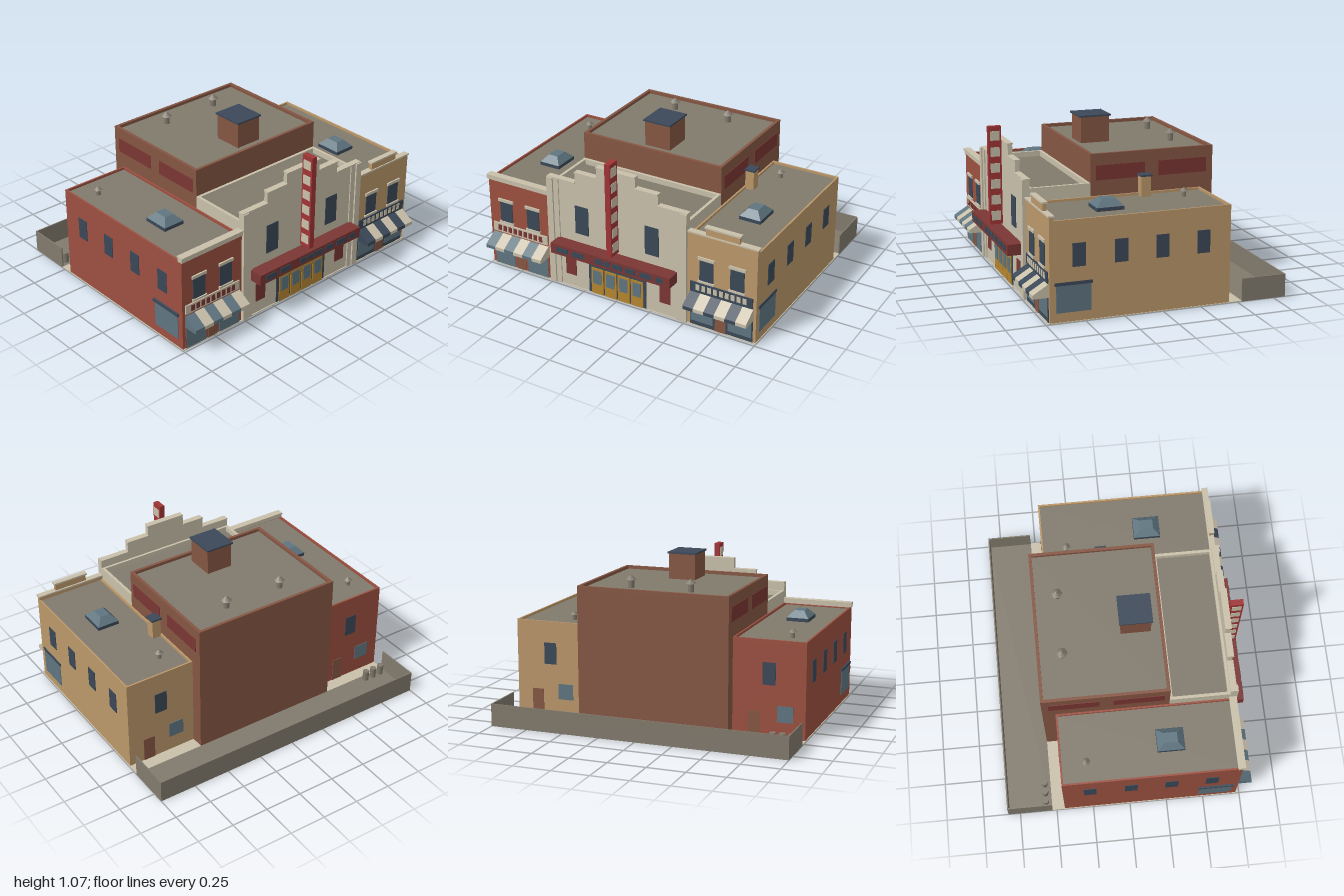
import * as THREE from 'three';

const mat = (name, color) => Object.assign(new THREE.MeshStandardMaterial({ color }), { name });
const M = {
  cream: mat('cream', 0xc9c0aa), tan: mat('tan', 0xbb976a), brick: mat('brick red', 0x9c5040),
  brown: mat('brown brick', 0x855643), maroon: mat('maroon', 0x7a3633), red: mat('sign red', 0xa03436),
  navy: mat('navy', 0x3b4858), glass: mat('glass blue', 0x5f7580), taupe: mat('roof taupe', 0x817a6d),
  gold: mat('door gold', 0xb5852f),
};

export function createModel() {
  const root = new THREE.Group();
  root.name = 'theatreBlock';

  const add = (name, geo, m, x = 0, y = 0, z = 0) => {
    const mesh = new THREE.Mesh(geo, m);
    mesh.name = name;
    mesh.position.set(x, y, z);
    root.add(mesh);
    return mesh;
  };
  // box given by its limits on each axis
  const box = (name, m, x0, x1, y0, y1, z0, z1) =>
    add(name, new THREE.BoxGeometry(x1 - x0, y1 - y0, z1 - z0), m, (x0 + x1) / 2, (y0 + y1) / 2, (z0 + z1) / 2);
  // walls with a recessed flat roof inside a parapet
  const block = (name, m, x0, x1, z0, z1, top, roof, t) => {
    box(name + 'Body', m, x0, x1, 0.003, roof, z0, z1);
    box(name + 'Roof', M.taupe, x0 + t, x1 - t, roof, roof + 0.004, z0 + t, z1 - t);
    box(name + 'ParapetBack', m, x0, x1, roof, top, z0, z0 + t);
    box(name + 'ParapetFront', m, x0, x1, roof, top, z1 - t, z1);
    box(name + 'ParapetLeft', m, x1 - t, x1, roof, top, z0 + t, z1 - t);
    box(name + 'ParapetRight', m, x0, x0 + t, roof, top, z0 + t, z1 - t);
  };
  const vent = (x, y, z, s) => {
    add('ventPipe', new THREE.CylinderGeometry(0.019 * s, 0.019 * s, 0.06 * s, 6), M.taupe, x, y + 0.03 * s, z);
    add('ventCap', new THREE.ConeGeometry(0.036 * s, 0.03 * s, 6), M.taupe, x, y + 0.067 * s, z);
  };

  // Ground slab and walled rear yard
  box('groundSlab', M.cream, -1, 1, 0, 0.006, -0.53, 0.735);
  box('yardFloor', M.taupe, -1, 1, 0, 0.006, -0.83, -0.53);
  box('yardBackWall', M.taupe, -1, 1, 0.006, 0.15, -0.83, -0.822);
  for (const s of [-1, 1]) box('yardSideWall', M.taupe, s * 0.996 - 0.004, s * 0.996 + 0.004, 0.006, 0.15, -0.822, -0.53);
  for (const x of [-0.945, -0.883, -0.82])
    add('trashCan', new THREE.CylinderGeometry(0.023, 0.02, 0.075, 6), M.taupe, x, 0.042, -0.57);

  // Auditorium
  block('auditorium', M.brown, -0.515, 0.515, -0.53, 0.3, 0.905, 0.88, 0.02);
  for (const s of [-1, 1]) {
    for (const [z0, z1] of [[-0.065, 0.265], [-0.485, -0.155]])
      box('sidePanel', M.maroon, s * 0.515 - 0.004, s * 0.515 + 0.004, 0.735, 0.83, z0, z1);
    vent(s * 0.205, 0.884, -0.365, 1.05);
  }
  box('roofHouse', M.brown, -0.092, 0.092, 0.88, 1.055, 0.022, 0.218);
  box('roofHouseCap', M.navy, -0.1, 0.1, 1.055, 1.066, 0.012, 0.228);

  // Lobby with stepped facade
  block('lobby', M.cream, -0.515, 0.515, 0.3, 0.7, 0.72, 0.68, 0.02);
  const steps = [[0.515, 0.78], [0.305, 0.855], [0.142, 0.93]];
  const outline = new THREE.Shape();
  outline.moveTo(-0.515, 0.003);
  for (const [i, [x, y]] of steps.entries()) {
    outline.lineTo(-x, y - 0.008);
    if (steps[i + 1]) outline.lineTo(-steps[i + 1][0], y - 0.008);
  }
  for (const [i, [x, y]] of [...steps].reverse().entries()) {
    outline.lineTo(x, y - 0.008);
    if (i < 2) outline.lineTo(x, steps[1 - i][1] - 0.008);
  }
  outline.lineTo(0.515, 0.003);
  add('facade', new THREE.ExtrudeGeometry(outline, { depth: 0.03, bevelEnabled: false }), M.cream, 0, 0, 0.697);
  steps.forEach(([x, y], i) => {
    const inner = steps[i + 1] ? steps[i + 1][0] : 0;
    for (const s of [-1, 1]) {
      const a = s * x, b = s * inner;
      box('facadeCap', M.cream, Math.min(a, b), Math.max(a, b), y - 0.008, y, 0.692, 0.735);
    }
  });
  for (const s of [-1, 1]) {
    box('outerPilaster', M.cream, s * 0.4925 - 0.0225, s * 0.4925 + 0.0225, 0.003, 0.775, 0.72, 0.745);
    box('innerPilaster', M.cream, s * 0.45 - 0.019, s * 0.45 + 0.019, 0.003, 0.775, 0.72, 0.735);
    box('upperWindow', M.navy, s * 0.26 - 0.05, s * 0.26 + 0.05, 0.415, 0.615, 0.724, 0.731);
    box('posterCase', M.maroon, s * 0.355 - 0.04, s * 0.355 + 0.04, 0.09, 0.22, 0.724, 0.731);
  }

  // Entrance doors
  box('entranceSurround', M.navy, -0.217, 0.217, 0.006, 0.26, 0.724, 0.731);
  for (const x of [-0.15, -0.05, 0.05, 0.15]) {
    box('entranceDoor', M.gold, x - 0.045, x + 0.045, 0.006, 0.197, 0.73, 0.736);
    box('doorGlass', M.glass, x - 0.031, x + 0.031, 0.08, 0.18, 0.735, 0.739);
  }

  // Marquee and blade sign
  box('marquee', M.maroon, -0.445, 0.445, 0.278, 0.35, 0.727, 0.825);
  for (const [x, w] of [[-0.355, 0.09], [-0.235, 0.09], [-0.08, 0.05], [-0.015, 0.05], [0.062, 0.07], [0.158, 0.07], [0.27, 0.085], [0.37, 0.05]])
    box('marqueePanel', M.navy, x - w / 2, x + w / 2, 0.297, 0.334, 0.823, 0.829);
  box('bladeSign', M.red, -0.019, 0.019, 0.37, 1.02, 0.735, 0.82);
  for (const s of [-1, 1])
    for (let i = 0; i < 6; i++)
      box('bladeSquare', M.cream, s * 0.019 - 0.003, s * 0.019 + 0.003, 0.398 + i * 0.106, 0.46 + i * 0.106, 0.747, 0.809);

  // Awning stripe: wedge profile in z and y
  const wedge = new THREE.Shape([[0.72, 0.162], [0.825, 0.162], [0.825, 0.186], [0.72, 0.25]].map(p => new THREE.Vector2(...p)));
  const awning = (x0, m) => {
    for (let i = 0; i < 6; i++) {
      const geo = new THREE.ExtrudeGeometry(wedge, { depth: 0.0735, bevelEnabled: false });
      geo.rotateY(-Math.PI / 2).translate(0.0735, 0, 0);
      add('awningStripe', geo, i % 2 ? M.cream : m, x0 + i * 0.0735, 0, 0);
    }
  };

  // Skylight: hipped glass lantern on a curb
  const skylight = x => {
    box('skylightCurb', M.navy, x - 0.075, x + 0.075, 0.61, 0.642, 0.19, 0.37);
    const geo = new THREE.BoxGeometry(0.148, 0.045, 0.178);
    const p = geo.attributes.position;
    for (let i = 0; i < p.count; i++)
      if (p.getY(i) > 0) p.setXYZ(i, p.getX(i) * 0.45, p.getY(i), p.getZ(i) * 0.5);
    const flat = geo.toNonIndexed();
    flat.computeVertexNormals();
    add('skylight', flat, M.glass, x, 0.664, 0.28);
  };

  // The two shops
  const shop = (s, wall, awningMat, signMat, letterMat) => {
    const c = s * 0.755, x0 = c - 0.24, x1 = c + 0.24;
    block('shop', wall, x0, x1, -0.445, 0.725, 0.635, 0.615, 0.012);
    skylight(s * 0.755);
    vent(c - 0.1, 0.615, -0.275, 0.8);
    for (const z of [0.54, 0.272, 0.005, -0.265])
      box('sideWindow', M.navy, s * 0.995 - 0.004, s * 0.995 + 0.004, 0.345, 0.49, z - 0.042, z + 0.042);
    box('sideShopWindow', M.glass, s * 0.995 - 0.004, s * 0.995 + 0.004, 0.065, 0.236, 0.465, 0.685);
    box('sideShopLintel', M.navy, s * 0.995 - 0.012, s * 0.995 + 0.005, 0.234, 0.254, 0.455, 0.695);
    // rear openings
    box('backWindow', M.navy, c - 0.043, c + 0.043, 0.345, 0.49, -0.449, -0.44);
    box('backDoor', M.brown, c + 0.055, c + 0.135, 0.006, 0.17, -0.449, -0.44);
    box('backGlass', M.glass, c - 0.16, c - 0.055, 0.11, 0.215, -0.449, -0.44);
    // upper front windows
    for (const dx of [-0.107, 0.107]) {
      const x = c + dx;
      box('frontWindow', M.navy, x - 0.048, x + 0.048, 0.338, 0.487, 0.722, 0.73);
      box('windowLintel', M.cream, x - 0.058, x + 0.058, 0.486, 0.506, 0.722, 0.736);
      box('windowSill', M.cream, x - 0.056, x + 0.056, 0.326, 0.34, 0.722, 0.738);
    }
    // sign band with plain bars
    box('signBand', signMat, c - 0.217, c + 0.217, 0.254, 0.318, 0.722, 0.734);
    for (let i = 0; i < 9; i++) {
      const x = c + (i - 4) * 0.041;
      box('signBar', letterMat, x - 0.013, x + 0.013, 0.267, 0.307, 0.732, 0.737);
    }
    // shopfront
    box('shopfrontFrame', s > 0 ? M.navy : wall, c - 0.22, c + 0.22, 0.006, 0.25, 0.722, 0.729);
    box('displayWindow', M.glass, c - 0.212, c - 0.055, 0.03 * (s > 0) + 0.006, 0.235, 0.727, 0.733);
    box('displayWindow', M.glass, c + 0.05, c + 0.212, 0.03 * (s > 0) + 0.006, 0.235, 0.727, 0.733);
    box('shopDoor', M.brown, c - 0.04, c + 0.035, 0.006, 0.2, 0.727, 0.733);
    awning(c - 0.22, awningMat);
  };
  shop(-1, M.brick, M.glass, M.cream, M.maroon);
  shop(1, M.tan, M.navy, M.navy, M.cream);

  // Brick shop cornice
  box('cornice', M.cream, -1, -0.515, 0.632, 0.656, 0.697, 0.734);
  box('corniceCap', M.cream, -1, -0.515, 0.656, 0.668, 0.69, 0.74);

  // Tan shop parapet with raised centre
  box('frontParapet', M.tan, 0.515, 0.995, 0.63, 0.657, 0.697, 0.725);
  box('frontParapetCap', M.cream, 0.515, 1, 0.657, 0.667, 0.69, 0.731);
  box('raisedParapet', M.tan, 0.64, 0.87, 0.667, 0.712, 0.7, 0.725);
  box('raisedParapetCap', M.cream, 0.632, 0.878, 0.712, 0.723, 0.694, 0.731);

  // Chimney
  box('chimney', M.tan, 0.522, 0.583, 0.615, 0.75, -0.08, -0.017);
  box('chimneyCap', M.navy, 0.516, 0.59, 0.75, 0.761, -0.087, -0.01);

  return root;
}
